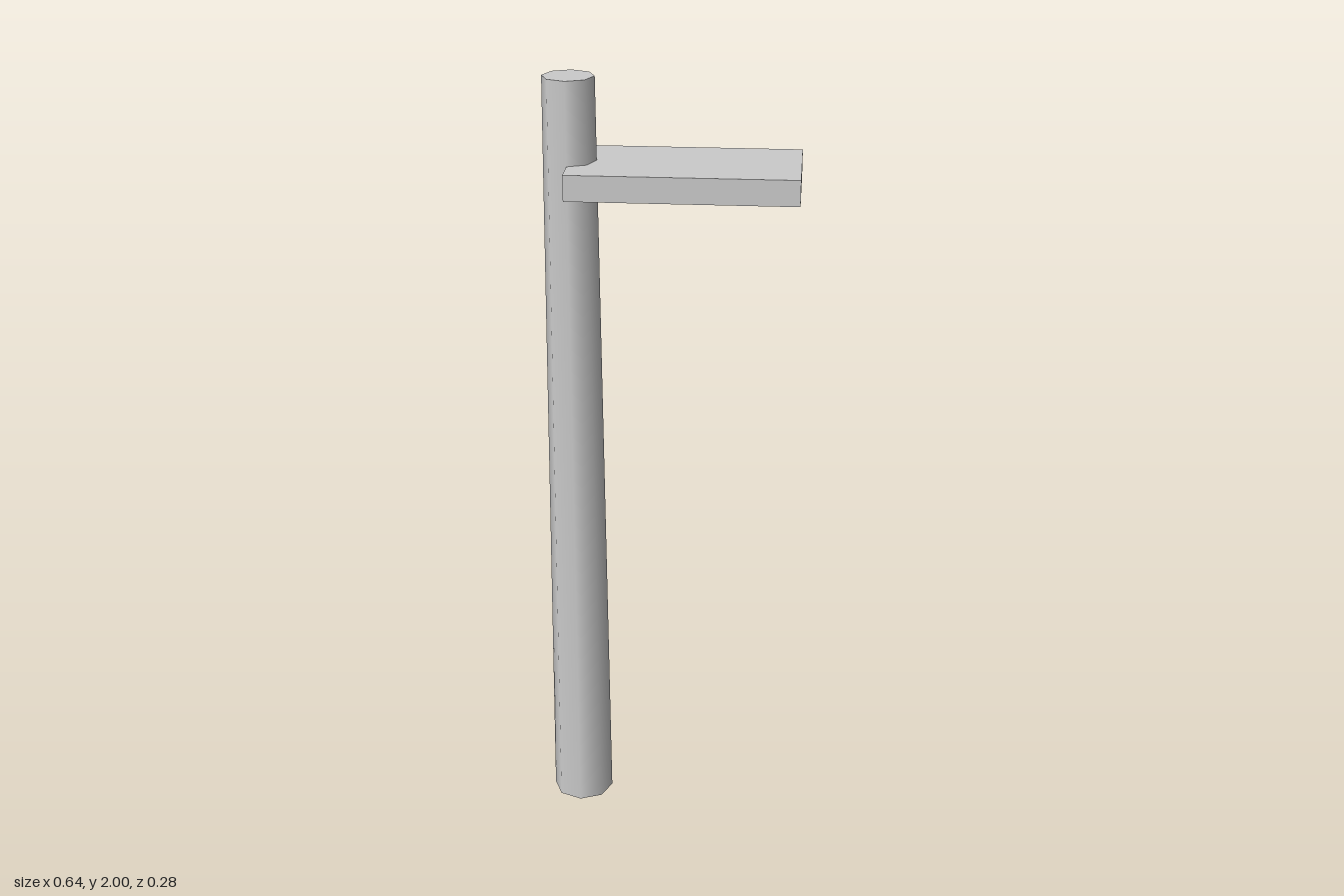
import * as THREE from 'three';

export function createModel() {
  const group = new THREE.Group();
  const material = new THREE.MeshStandardMaterial({ color: 0xcccccc });

  const addPart = (name, geometry, x, y, z) => {
    const mesh = new THREE.Mesh(geometry, material);
    mesh.name = name;
    mesh.position.set(x, y, z);
    group.add(mesh);
  };

  // Eight-sided post, slightly tapered towards the top
  addPart('post', new THREE.CylinderGeometry(0.064, 0.08, 2, 8), -0.24, 1, 0);

  // Flat board whose inner end starts at the post's axis
  addPart('board', new THREE.BoxGeometry(0.56, 0.064, 0.28), 0.04, 1.764, 0);

  return group;
}
